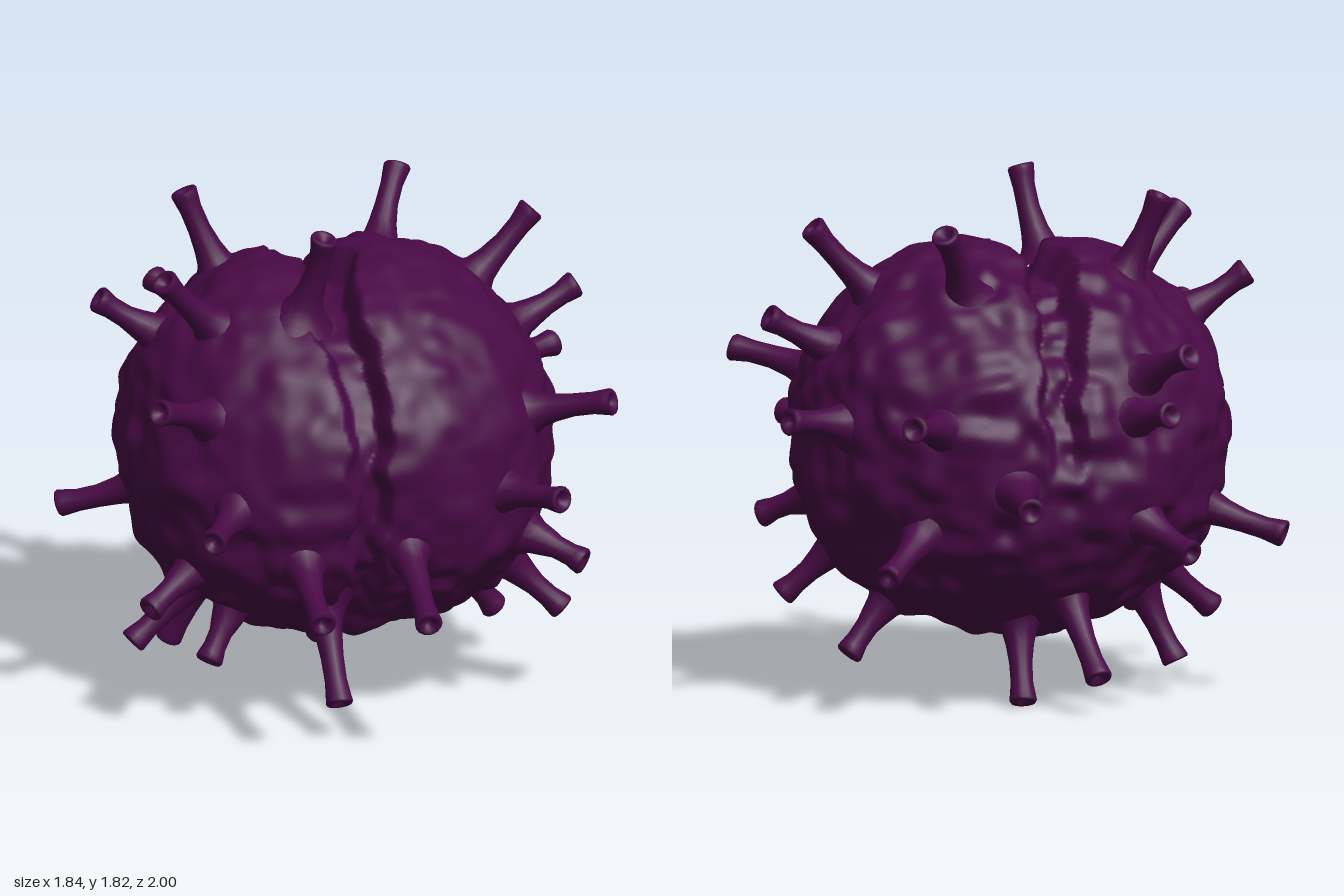
import * as THREE from 'three';
import { mergeVertices } from 'three/addons/utils/BufferGeometryUtils.js';

const CENTER = new THREE.Vector3(0, 0.92, -0.04);
const RADII = [0.765, 0.695, 0.705];

// Broad swellings and hollows, mirrored on both lobes: direction, height, spread
const SWELLINGS = [
  [0.55, -0.15, 0.8, 0.035, 0.4], // cheeks
  [0.15, 0.35, 0.9, 0.025, 0.35], // brow
  [0.45, 0.85, 0.05, 0.025, 0.35], // crown
  [0.1, 0, -1, 0.025, 0.6], // back
  [0.15, -0.8, 0.55, -0.04, 0.35], // chin
];

// Tip of every stalk; a second point gives the root where the stalk leans
const STALKS = [
  // crown
  [[-0.14, 1.81, 0.37], [-0.19, 1.5, 0.27]],
  [[-0.49, 1.79, -0.3], [-0.39, 1.53, -0.25]],
  [[-0.7, 1.66, 0.27]],
  [[0.73, 1.69, -0.1]],
  [[0.36, 1.72, -0.58]],
  // right of centre
  [[0.9, 1.38, -0.14]],
  [[0.9, 1.05, -0.46]],
  [[0.87, 1.17, 0.54]],
  [[0.63, 0.9, 0.77], [0.53, 0.87, 0.6]],
  [[0.77, 0.57, 0.52]],
  [[0.75, 0.32, 0.28], [0.56, 0.5, 0.22]],
  [[0.62, 0.17, -0.2]],
  // left of centre
  [[-0.85, 1.48, -0.11]],
  [[-0.79, 1.28, 0.58], [-0.6, 1.19, 0.42]],
  [[-0.64, 0.84, 0.76], [-0.55, 0.86, 0.6]],
  [[-0.9, 0.59, -0.48]],
  [[-0.78, 0.47, 0.38]],
  [[-0.77, 0.25, 0.08]],
  [[-0.55, 0.24, 0.32], [-0.44, 0.42, 0.24]],
  [[-0.55, 0.12, -0.29], [-0.44, 0.38, -0.22]],
  // front and underside
  [[0.09, 0.55, 0.99], [0.11, 0.68, 0.62]],
  [[-0.28, 0.56, 0.93], [-0.27, 0.66, 0.62]],
  [[-0.14, 0.14, 0.6], [-0.15, 0.4, 0.42]],
  [[0.05, 0.02, -0.48]],
  [[-0.17, 0.13, -0.72]],
  // back
  [[0.14, 0.78, -0.99], [0.13, 0.81, -0.72]],
  [[0.55, 1.08, -0.92]],
  [[0.61, 0.52, -0.76]],
  [[-0.48, 1.29, -0.81]],
  [[-0.4, 1.09, -0.86]],
  [[-0.47, 0.59, -0.87]],
];

// Smooth 3D value noise in -1..1
function hash(x, y, z) {
  const s = Math.sin(x * 127.1 + y * 311.7 + z * 74.7) * 43758.5453;
  return (s - Math.floor(s)) * 2 - 1;
}

function noise(x, y, z) {
  const i = [x, y, z].map(Math.floor);
  const f = [x - i[0], y - i[1], z - i[2]].map((t) => t * t * (3 - 2 * t));
  let sum = 0;
  for (let c = 0; c < 8; c++) {
    const a = c & 1, b = (c >> 1) & 1, d = c >> 2;
    const w = (a ? f[0] : 1 - f[0]) * (b ? f[1] : 1 - f[1]) * (d ? f[2] : 1 - f[2]);
    sum += w * hash(i[0] + a, i[1] + b, i[2] + d);
  }
  return sum;
}

const smoothstep = THREE.MathUtils.smoothstep;
const bell = (x, width) => Math.exp(-((x / width) ** 2));

// Distance from the centre to the lumpy, cleft surface along a unit direction
function surfaceRadius(d) {
  const p = 2.2;
  let r = [d.x, d.y, d.z].reduce((s, v, i) => s + Math.abs(v / RADII[i]) ** p, 0) ** (-1 / p);

  for (const [x, y, z, height, spread] of SWELLINGS) {
    r += height * bell(Math.hypot(Math.abs(d.x) - x, d.y - y, d.z - z), spread);
  }

  // lumps, calmer on the upper front
  const calm = 1 - 0.5 * smoothstep(d.y + d.z, 0.2, 1.1);
  r += calm * (0.022 * noise(d.x * 5 + 9, d.y * 5 + 9, d.z * 5 + 9)
    + 0.024 * noise(d.x * 9 + 31, d.y * 9 + 31, d.z * 9 + 31));

  // wavering cleft between the lobes, wider over the top, closing below and low on the back
  const top = Math.max(0, d.y);
  const mid = -0.05 - 0.025 * top + 0.03 * Math.sin(d.z * 6 + 1) * top
    + 0.03 * noise(4, d.y * 7 + 20, d.z * 7 + 20);
  const half = 0.035 + 0.035 * top;
  const gap = Math.abs(d.x * r - mid);
  const end = -0.9 + 0.75 * smoothstep(-d.z, -0.2, 0.5);
  const open = smoothstep(d.y, end, end + 0.35);
  const depth = 0.08 + 0.04 * top;
  r -= open * (depth * (1 - smoothstep(gap, half, half + 0.035)) + (0.015 + 0.025 * top) * bell(gap, 0.15));
  return r;
}

function smooth(geometry) {
  geometry.deleteAttribute('uv');
  geometry.deleteAttribute('normal');
  const merged = mergeVertices(geometry, 1e-5);
  merged.computeVertexNormals();
  return merged;
}

// Two-lobed core
function bodyGeometry() {
  const geometry = new THREE.IcosahedronGeometry(1, 56);
  const pos = geometry.attributes.position;
  const d = new THREE.Vector3();
  for (let i = 0; i < pos.count; i++) {
    d.fromBufferAttribute(pos, i).normalize();
    d.multiplyScalar(surfaceRadius(d));
    pos.setXYZ(i, d.x, d.y, d.z);
  }
  return smooth(geometry);
}

// Stalk with a flared root, narrow shaft and hollow, slightly wider mouth
function stalkGeometry(length, bend) {
  const profile = [
    [0.125, -0.05], [0.085, -0.01], [0.062, 0.03], [0.05, 0.08], [0.041, length * 0.5],
    [0.04, length * 0.75], [0.046, length - 0.03], [0.049, length - 0.008], [0.044, length],
    [0.03, length - 0.002], [0.02, length - 0.02], [0, length - 0.03],
  ].map(([x, y]) => new THREE.Vector2(x, y));
  const geometry = new THREE.LatheGeometry(profile, 16);
  const pos = geometry.attributes.position;
  for (let i = 0; i < pos.count; i++) {
    const t = THREE.MathUtils.clamp(pos.getY(i) / length, 0, 1);
    pos.setX(i, pos.getX(i) + bend * Math.sin(t * Math.PI));
  }
  return smooth(geometry);
}

export function createModel() {
  const model = new THREE.Group();
  model.name = 'spikedCell';
  const plum = new THREE.MeshStandardMaterial({ color: 0x480a45 });
  plum.name = 'deep plum';

  const body = new THREE.Mesh(bodyGeometry(), plum);
  body.name = 'lobedBody';
  body.position.copy(CENTER);
  model.add(body);

  const stalks = new THREE.Group();
  stalks.name = 'stalks';
  const up = new THREE.Vector3(0, 1, 0);
  STALKS.forEach(([tip, root = tip], i) => {
    // settle the root on the body surface, then aim at the tip
    const out = new THREE.Vector3(...root).sub(CENTER).normalize();
    const base = CENTER.clone().addScaledVector(out, surfaceRadius(out) - 0.01);
    const dir = new THREE.Vector3(...tip).sub(base);
    const length = dir.length();
    const stalk = new THREE.Mesh(stalkGeometry(length, 0.01 * hash(i, 2, 5)), plum);
    stalk.name = `stalk${i + 1}`;
    stalk.position.copy(base);
    stalk.quaternion.setFromUnitVectors(up, dir.normalize());
    stalks.add(stalk);
  });
  model.add(stalks);
  return model;
}
